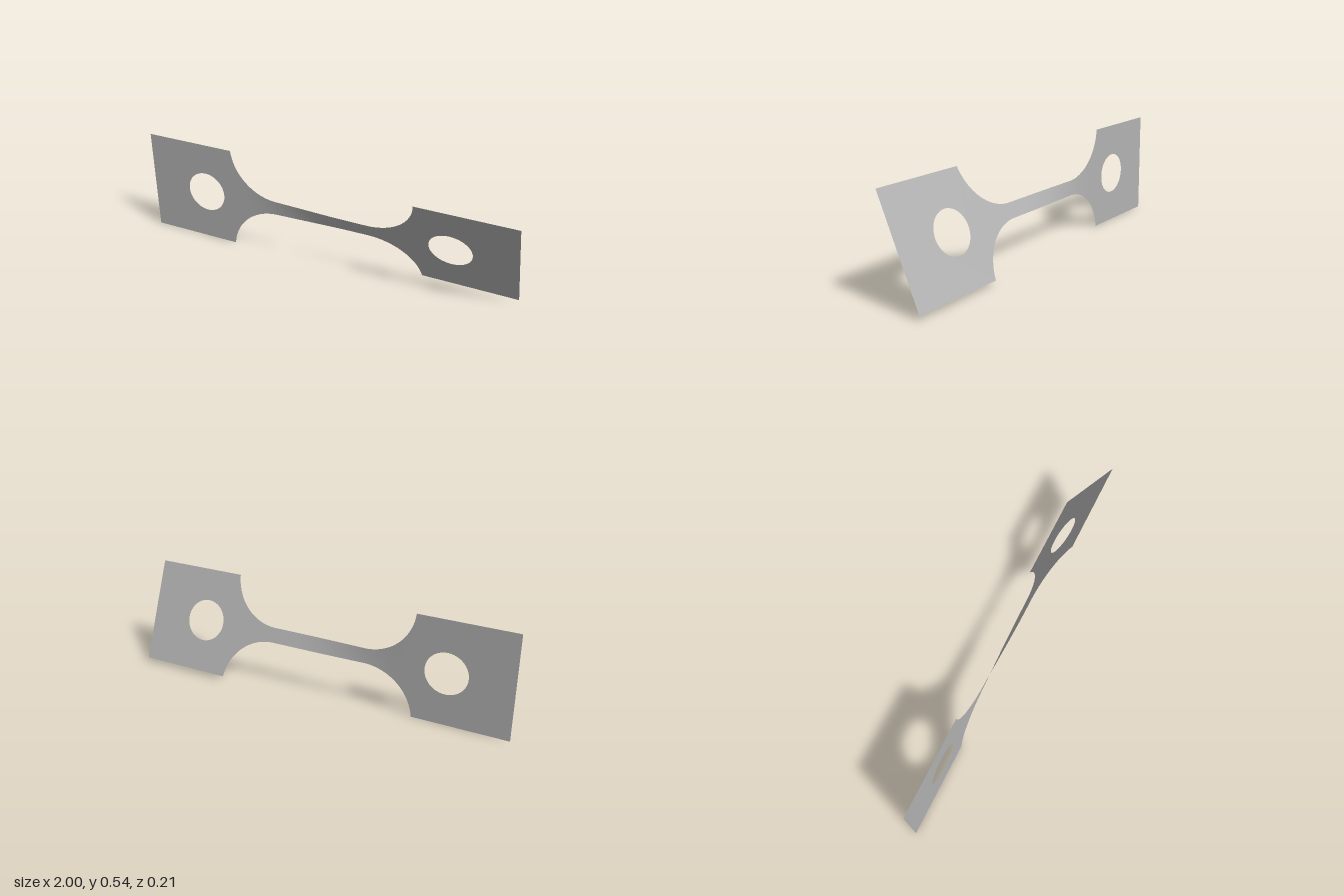
import * as THREE from 'three';

const HALF_H = 0.2717;   // half height of the end plates
const NECK_H = 0.0385;   // half height of the narrow bar
const FILLET = 0.26;     // radius of the concave shoulders
const BAR_X = 0.2514;    // where the shoulders start
const PLATE_X = BAR_X + Math.sqrt(FILLET ** 2 - (NECK_H + FILLET - HALF_H) ** 2);
const TWIST_START = 0.007, TWIST_END = 0.406;

// Twist about the long axis, growing along the bar
const twist = x => THREE.MathUtils.lerp(TWIST_START, TWIST_END, THREE.MathUtils.smoothstep(x, -0.45, 0.2));

// Half height of the twisted strip at x
function halfHeight(x) {
  const d = Math.max(0, Math.abs(x) - BAR_X);
  return NECK_H + FILLET - Math.sqrt(FILLET ** 2 - d * d);
}

// Flat end plate with a round hole
function endPlate(side, material) {
  const shape = new THREE.Shape();
  const [a, b] = side < 0 ? [-1, -PLATE_X] : [PLATE_X, 1];
  shape.moveTo(a, -HALF_H).lineTo(b, -HALF_H).lineTo(b, HALF_H).lineTo(a, HALF_H).closePath();
  const hole = new THREE.Path();
  hole.absarc(side * 0.672, 0, 0.108, 0, Math.PI * 2, true);
  shape.holes.push(hole);
  const plate = new THREE.Mesh(new THREE.ShapeGeometry(shape, 40), material);
  plate.rotation.x = twist(side);
  return plate;
}

// Narrow bar with flared shoulders, twisted column by column
function twistedBar(material) {
  const geometry = new THREE.PlaneGeometry(2, 2, 120, 8);
  const p = geometry.attributes.position;
  for (let i = 0; i < p.count; i++) {
    const x = PLATE_X * Math.sin(p.getX(i) * Math.PI / 2);
    const v = p.getY(i) * halfHeight(x);
    p.setXYZ(i, x, v * Math.cos(twist(x)), v * Math.sin(twist(x)));
  }
  geometry.computeVertexNormals();
  return new THREE.Mesh(geometry, material);
}

export function createModel() {
  const model = new THREE.Group();
  model.name = 'twistedTestStrip';
  const steel = new THREE.MeshStandardMaterial({ color: 0xb3b3b3, side: THREE.DoubleSide });
  steel.name = 'plain grey';

  const parts = { rightEndPlate: endPlate(-1, steel), twistedBar: twistedBar(steel), leftEndPlate: endPlate(1, steel) };
  for (const [name, mesh] of Object.entries(parts)) {
    mesh.name = name;
    mesh.position.y = HALF_H;
    model.add(mesh);
  }
  return model;
}
